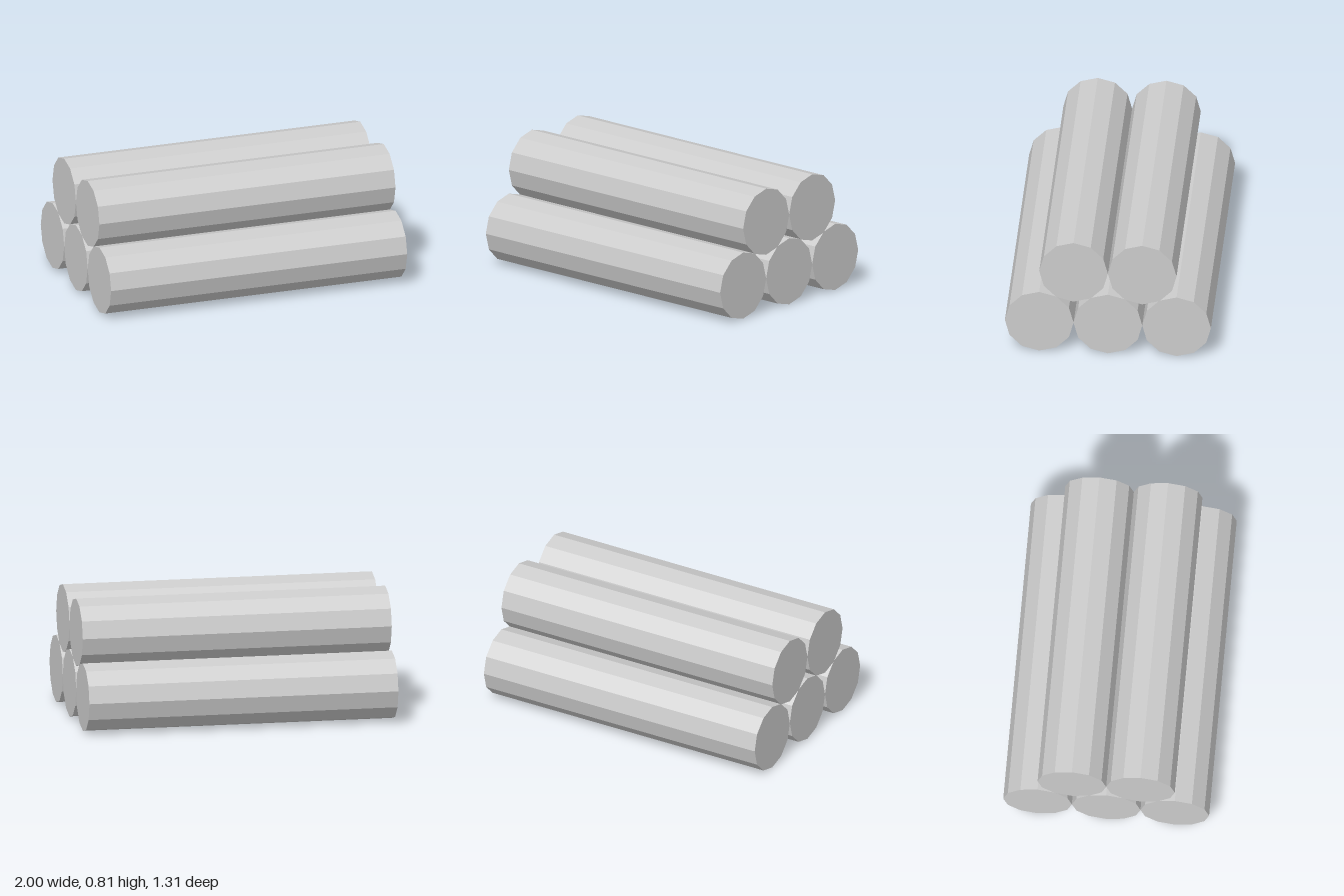
import * as THREE from 'three';

const RADIUS = 0.2187;
const LENGTH = 2;
const SIDES = 12;

export function createModel() {
  const model = new THREE.Group();
  model.name = 'logPile';

  const material = new THREE.MeshStandardMaterial({ color: 0xcccccc, flatShading: true });

  // One faceted log lying along x
  const logGeometry = new THREE.CylinderGeometry(RADIUS, RADIUS, LENGTH, SIDES);
  logGeometry.rotateZ(Math.PI / 2);

  // Three logs on the ground, two nested in the gaps above
  const rows = [
    { name: 'bottomLog', count: 3, y: RADIUS },
    { name: 'topLog', count: 2, y: 0.594 },
  ];
  for (const { name, count, y } of rows) {
    for (let i = 0; i < count; i++) {
      const log = new THREE.Mesh(logGeometry, material);
      log.name = `${name}${i + 1}`;
      log.position.set(0, y, (i - (count - 1) / 2) * RADIUS * 2);
      model.add(log);
    }
  }
  return model;
}
